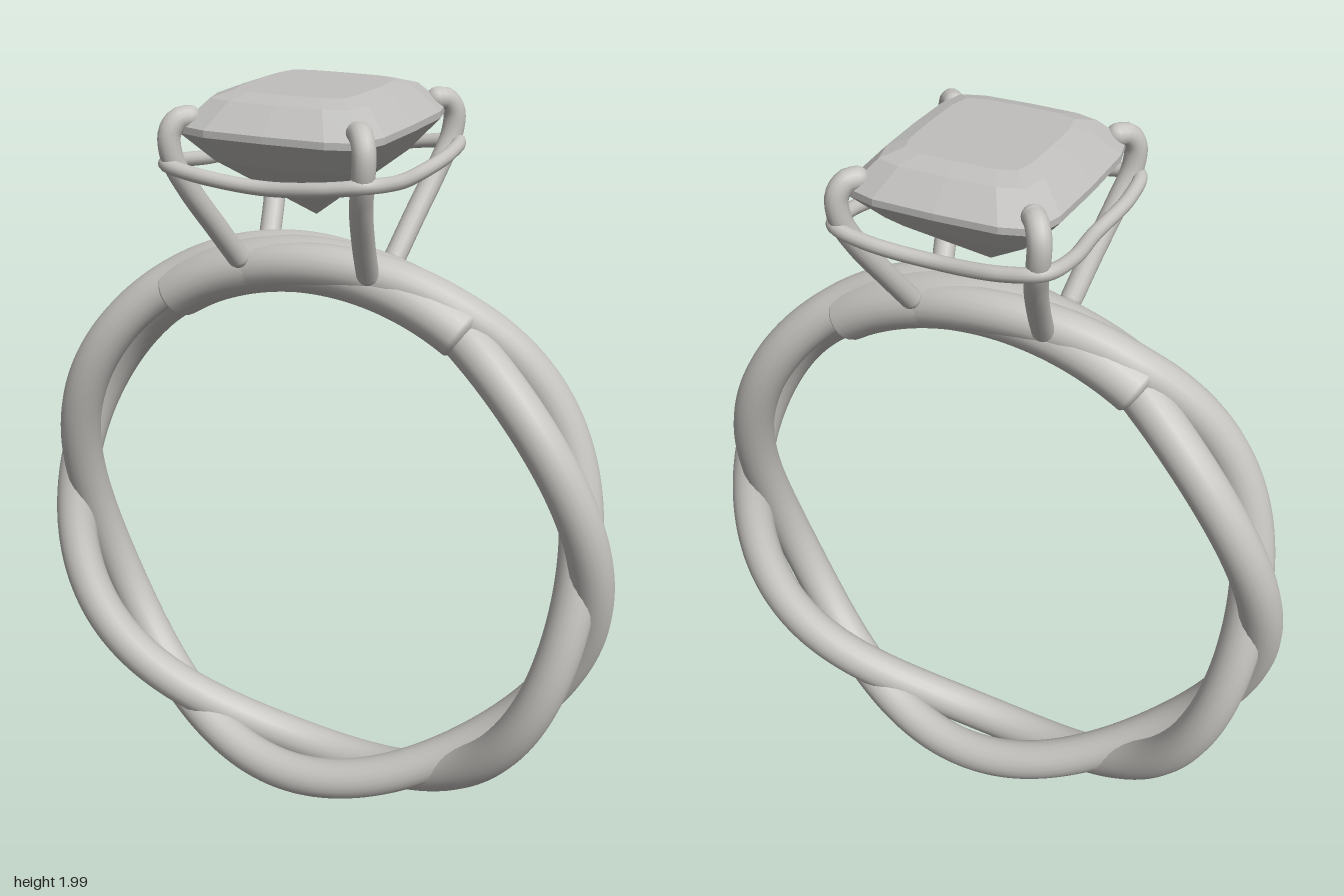
import * as THREE from 'three';

const CENTRE_Y = 0.812;
const V = (x, y, z) => new THREE.Vector3(x, y, z);

// One of two strands that wind round each other along the hoop
class Strand extends THREE.Curve {
  constructor(sign) { super(); this.sign = sign; }
  getPoint(t, target = new THREE.Vector3()) {
    const a = t * Math.PI * 2;
    const tight = THREE.MathUtils.smoothstep(Math.sin(a), 0.8, 0.93);
    const r = 0.748 + this.sign * 0.02 * Math.cos(3 * a);
    const z = this.sign * (0.076 - 0.03 * tight) * Math.sin(3 * a);
    return target.set(r * Math.cos(a), CENTRE_Y + r * Math.sin(a), z);
  }
}

// Faceted stone: cushion outlines stacked from table to culet
function gemGeometry() {
  const quarter = [[1, 0], [0.985, 0.6], [0.9, 0.9], [0.6, 0.985]];
  const outline = [];
  for (let q = 0; q < 4; q++) {
    for (const [x, z] of quarter) {
      outline.push([[x, z], [-z, x], [-x, -z], [z, -x]][q]);
    }
  }
  const levels = [ // y, half width, half depth
    [2.0, 0.155, 0.172], [1.985, 0.2, 0.225], [1.925, 0.258, 0.288],
    [1.908, 0.258, 0.288], [1.835, 0.195, 0.215], [1.68, 0, 0],
  ];
  const rings = levels.map(([y, w, d]) => outline.map(([x, z]) => V(x * w, y, z * d)));
  const pts = [];
  const n = outline.length;
  for (let j = 0; j < n; j++) {
    const k = (j + 1) % n;
    pts.push(V(0, 2, 0), rings[0][k], rings[0][j]);
    for (let i = 0; i + 1 < rings.length; i++) {
      const up = rings[i], low = rings[i + 1];
      pts.push(up[j], up[k], low[j]);
      if (i + 2 < rings.length) pts.push(up[k], low[k], low[j]);
    }
  }
  const g = new THREE.BufferGeometry().setFromPoints(pts);
  g.computeVertexNormals();
  return g;
}

export function createModel() {
  const model = new THREE.Group();
  const metal = new THREE.MeshStandardMaterial({ color: 0xc6c4c0 });
  metal.name = 'metal';
  const stone = new THREE.MeshStandardMaterial({ color: 0xc0bfbd });
  stone.name = 'stone';

  const add = (name, geometry, material = metal, parent = model) => {
    const mesh = new THREE.Mesh(geometry, material);
    mesh.name = name;
    parent.add(mesh);
    return mesh;
  };

  // Twisted hoop
  for (const sign of [1, -1]) {
    add('strand', new THREE.TubeGeometry(new Strand(sign), 240, 0.056, 20, true));
  }

  // Solid bridge under the setting, with softly closed ends
  const bridge = new THREE.Group();
  bridge.name = 'bridge';
  bridge.position.y = CENTRE_Y;
  bridge.scale.z = 1.3;
  model.add(bridge);
  const half = 0.57, R = 0.736, thick = 0.071;
  const arc = new THREE.TorusGeometry(R, thick, 24, 48, half * 2);
  arc.rotateZ(Math.PI / 2 - half);
  add('bridgeBody', arc, metal, bridge);
  for (const side of [1, -1]) {
    const a = Math.PI / 2 - side * half;
    const end = add('bridgeEnd', new THREE.SphereGeometry(thick, 24, 16), metal, bridge);
    end.position.set(R * Math.cos(a), R * Math.sin(a), 0);
    end.rotation.z = a;
    end.scale.y = 0.35;
  }

  // Four claws that hook over the stone's corners
  for (const sx of [1, -1]) {
    for (const sz of [1, -1]) {
      const claw = new THREE.Group();
      claw.name = 'claw';
      model.add(claw);
      const path = [
        [0.178, 1.57, 0.085], [0.198, 1.66, 0.155], [0.226, 1.77, 0.235],
        [0.247, 1.85, 0.273], [0.25, 1.91, 0.276], [0.235, 1.94, 0.258], [0.218, 1.943, 0.238],
      ].map(([x, y, z]) => V(sx * x, y, sz * z));
      add('clawWire', new THREE.TubeGeometry(new THREE.CatmullRomCurve3(path), 40, 0.028, 14), metal, claw);
      for (const p of [path[0], path[path.length - 1]]) {
        add('clawTip', new THREE.SphereGeometry(0.028, 14, 10), metal, claw).position.copy(p);
      }
    }
  }

  // Gallery wire running round the claws, dipping between them
  const loop = [];
  const quarter = [[0.266, 1.805, 0], [0.281, 1.822, 0.17], [0.262, 1.835, 0.278], [0.17, 1.822, 0.297]];
  const mids = [0, 0.297, 0, -0.297];
  // Each side is mirrored so that the corners follow the stone's longer depth
  const at = (i, sx, sz) => V(sx * quarter[i][0], quarter[i][1], sz * quarter[i][2]);
  loop.push(at(0, 1, 1), at(1, 1, 1), at(2, 1, 1), at(3, 1, 1), V(0, 1.805, mids[1] - 0.014));
  loop.push(at(3, -1, 1), at(2, -1, 1), at(1, -1, 1), at(0, -1, 1));
  loop.push(at(1, -1, -1), at(2, -1, -1), at(3, -1, -1), V(0, 1.805, mids[3] + 0.014));
  loop.push(at(3, 1, -1), at(2, 1, -1), at(1, 1, -1));
  add('galleryWire', new THREE.TubeGeometry(new THREE.CatmullRomCurve3(loop, true), 160, 0.018, 12, true));

  // Stone
  add('gem', gemGeometry(), stone);

  return model;
}
